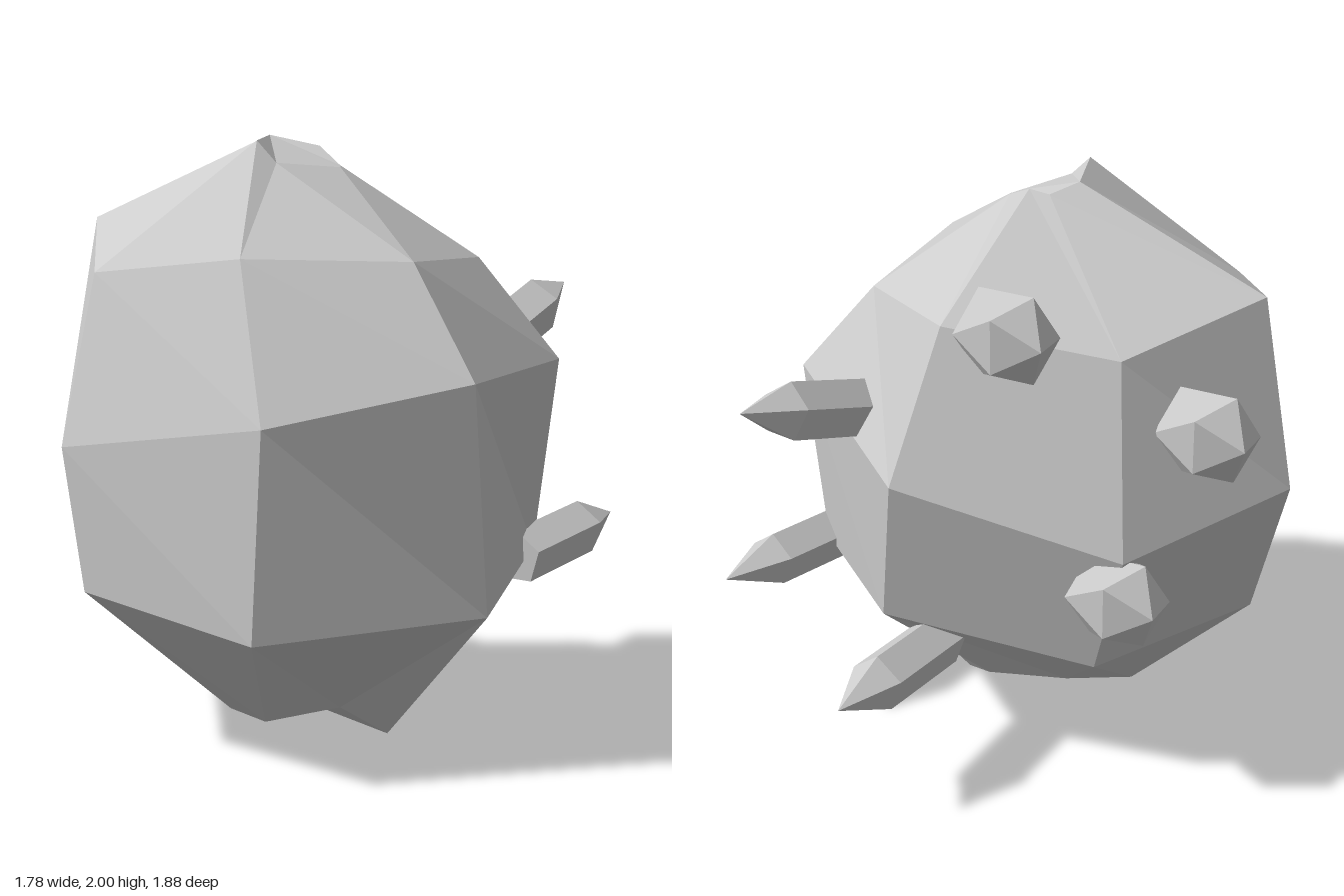
import * as THREE from 'three';

const stone = new THREE.MeshStandardMaterial({ color: 0xcccccc, flatShading: true });
stone.name = 'stone grey';

// Seven-cornered cross-sections of the boulder, bottom to top
const rings = [
  [[-0.31, 0.15, 0.16], [-0.11, 0.09, 0.4], [0.08, 0.1, 0.51], [0.25, 0.115, 0.3], [0.36, 0, 0.16], [0.16, 0.15, -0.05], [-0.1, 0.14, 0.055]],
  [[-0.71, 0.51, 0.27], [-0.42, 0.55, 0.81], [0.26, 0.48, 0.94], [0.84, 0.53, 0.47], [0.75, 0.62, -0.165], [0.33, 0.585, -0.485], [-0.39, 0.49, -0.32]],
  [[-0.87, 1.06, 0.16], [-0.49, 1.02, 0.82], [0.29, 1.15, 0.93], [0.84, 1.28, 0.59], [0.84, 1.27, -0.14], [0.22, 1.15, -0.6], [-0.53, 0.97, -0.41]],
  [[-0.74, 1.71, 0.19], [-0.45, 1.57, 0.67], [0.12, 1.64, 0.74], [0.59, 1.63, 0.49], [0.57, 1.6, -0.09], [0.12, 1.67, -0.42], [-0.42, 1.58, -0.22]],
  [[-0.08, 2, 0.16], [0.01, 1.99, 0.42], [0.08, 1.92, 0.42], [0.2, 1.9, 0.2], [0.19, 1.905, 0.18], [0.08, 1.965, 0.11], [-0.01, 1.97, 0.08]],
];

function boulderGeometry() {
  const n = 7, index = [], last = (rings.length - 1) * n;
  for (let r = 0; r < rings.length - 1; r++) {
    for (let i = 0; i < n; i++) {
      const a = r * n + i, b = r * n + (i + 1) % n;
      index.push(a, b, a + n, b, b + n, a + n);
    }
  }
  // Bottom and top caps
  for (let i = 1; i < n - 1; i++) {
    index.push(0, i + 1, i);
    index.push(last, last + i, last + i + 1);
  }
  const g = new THREE.BufferGeometry();
  g.setAttribute('position', new THREE.Float32BufferAttribute(rings.flat(2), 3));
  g.setIndex(index);
  const flat = g.toNonIndexed();
  flat.computeVertexNormals();
  return flat;
}

// Five-sided crystal with a pointed end, from base centre to tip
function crystal(name, base, tip, radius) {
  const from = new THREE.Vector3(...base), to = new THREE.Vector3(...tip);
  const length = from.distanceTo(to), shaft = length * 0.64;
  const group = new THREE.Group();
  group.name = name;
  const body = new THREE.Mesh(new THREE.CylinderGeometry(radius, radius, shaft, 5), stone);
  body.name = 'crystalShaft';
  body.position.y = shaft / 2;
  const point = new THREE.Mesh(new THREE.ConeGeometry(radius, length - shaft, 5, 1, true), stone);
  point.name = 'crystalPoint';
  point.position.y = (shaft + length) / 2;
  group.add(body, point);
  // Align the axis, keeping one ridge upward
  const y = to.clone().sub(from).normalize();
  const x = new THREE.Vector3().crossVectors(y, new THREE.Vector3(0, 1, 0)).normalize();
  const z = new THREE.Vector3().crossVectors(x, y);
  group.quaternion.setFromRotationMatrix(new THREE.Matrix4().makeBasis(x, y, z));
  group.position.copy(from);
  return group;
}

export function createModel() {
  const model = new THREE.Group();
  model.name = 'crystalBoulder';

  const boulder = new THREE.Mesh(boulderGeometry(), stone);
  boulder.name = 'boulder';
  model.add(boulder);

  model.add(
    crystal('lowerCrystal', [0.19, 0.45, -0.33], [0.23, 0.49, -0.94], 0.1),
    crystal('upperCrystal', [0.49, 1.26, -0.32], [0.59, 1.45, -0.87], 0.1),
    crystal('sideCrystal', [0.74, 0.61, -0.03], [0.86, 0.66, -0.65], 0.095),
  );

  // Faceted nodules on the back right
  [[-0.09, 1.66, -0.37], [-0.68, 1.34, -0.12], [-0.5, 0.82, -0.385]].forEach((p, i) => {
    const nodule = new THREE.Mesh(new THREE.IcosahedronGeometry(1, 0), stone);
    nodule.name = `nodule${i + 1}`;
    nodule.position.set(...p);
    nodule.scale.set(0.185, 0.175, 0.125);
    model.add(nodule);
  });
  return model;
}
